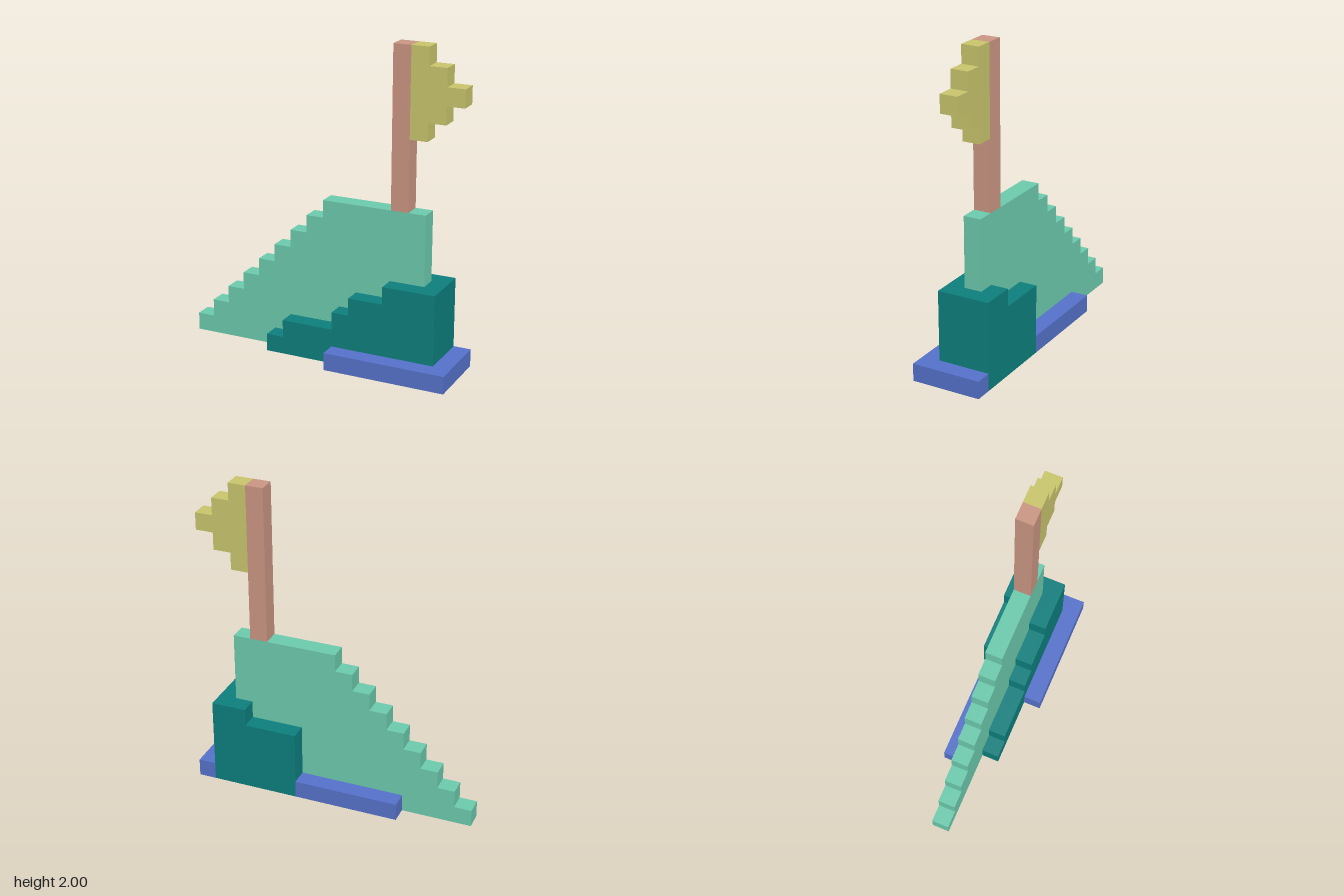
import * as THREE from 'three';

const U = 2 / 18; // one block

const mat = (name, color) => {
  const m = new THREE.MeshStandardMaterial({ color });
  m.name = name;
  return m;
};

// Upright slab from an outline in blocks, spanning z0..z1
function slab(name, points, z0, z1, material) {
  const shape = new THREE.Shape(points.map(([x, y]) => new THREE.Vector2(x * U, y * U)));
  const geometry = new THREE.ExtrudeGeometry(shape, { depth: (z1 - z0) * U, bevelEnabled: false });
  geometry.translate(0, 0, z0 * U);
  const mesh = new THREE.Mesh(geometry, material);
  mesh.name = name;
  return mesh;
}

// Staircase outline on the ground: each step is [start x, height], ending at endX
function stairs(steps, endX) {
  const points = [[steps[0][0], 0]];
  steps.forEach(([x, h], i) => {
    const next = i + 1 < steps.length ? steps[i + 1][0] : endX;
    points.push([x, h], [next, h]);
  });
  points.push([endX, 0]);
  return points.reverse();
}

const rect = (x0, x1, y0, y1) => [[x0, y0], [x1, y0], [x1, y1], [x0, y1]];

export function createModel() {
  const model = new THREE.Group();
  model.name = 'steppedHillWithFlag';

  const green = mat('light green', 0x6ccaad);
  const teal = mat('teal', 0x0d7f7d);
  const blue = mat('blue', 0x5672ca);
  const clay = mat('clay', 0xcb9683);
  const yellow = mat('yellow', 0xc9c56d);

  // Tall central staircase, one block per step
  const hillSteps = Array.from({ length: 9 }, (_, i) => [i - 8, i + 1]);
  model.add(slab('hill', stairs(hillSteps, 6), -1, 0, green));

  // Lower terrace wrapped around the end of the hill
  const terrace = new THREE.Group();
  terrace.name = 'terrace';
  terrace.add(
    slab('terraceFront', stairs([[-3, 1], [-2, 2], [1, 3], [2, 4], [4, 5]], 7), 0, 1, teal),
    slab('terraceEnd', rect(6, 7, 0, 5), -1, 0, teal),
    slab('terraceBack', stairs([[2, 4], [5, 5]], 7), -2, -1, teal),
  );
  model.add(terrace);

  // Low outer border
  const border = new THREE.Group();
  border.name = 'border';
  border.add(
    slab('borderFront', rect(1, 8, 0, 1), 1, 2, blue),
    slab('borderEnd', rect(7, 8, 0, 1), -2, 1, blue),
    slab('borderBack', rect(-4, 2, 0, 1), -2, -1, blue),
  );
  model.add(border);

  // Flagpole and stepped pennant
  model.add(slab('flagpole', rect(4, 5, 9, 18), -1, 0, clay));
  model.add(slab('flag', [
    [5, 13], [6, 13], [6, 14], [7, 14], [7, 15], [8, 15],
    [8, 16], [7, 16], [7, 17], [6, 17], [6, 18], [5, 18],
  ], -1, 0, yellow));

  return model;
}
